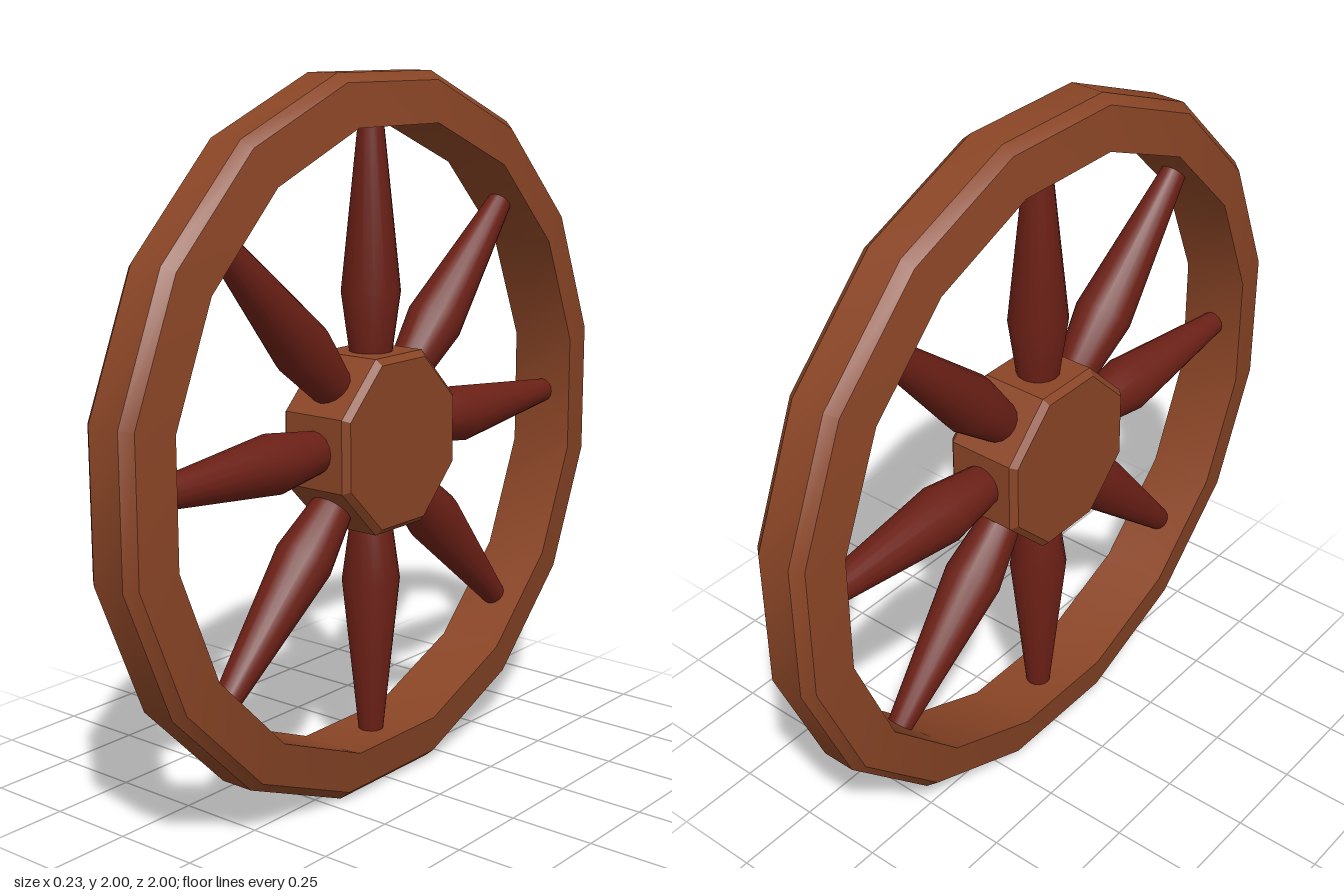
import * as THREE from 'three';
import { toCreasedNormals } from 'three/addons/utils/BufferGeometryUtils.js';

const wood = new THREE.MeshStandardMaterial({ color: 0x8a4526 });
const spokeWood = new THREE.MeshStandardMaterial({ color: 0x6b2016 });

// Polygonal ring or disc turned about the x axis.
// Profile points are [apothem, x], so flats (not corners) lie at each stated distance.
function turned(profile, sides) {
  const points = profile.map(([r, x]) => new THREE.Vector2(r / Math.cos(Math.PI / sides), x));
  const geometry = new THREE.LatheGeometry(points, sides, Math.PI / sides);
  geometry.rotateZ(-Math.PI / 2);
  return toCreasedNormals(geometry, THREE.MathUtils.degToRad(30));
}

function addPart(parent, name, geometry, material) {
  const mesh = new THREE.Mesh(geometry, material);
  mesh.name = name;
  parent.add(mesh);
  return mesh;
}

export function createModel() {
  const wheel = new THREE.Group();
  wheel.name = 'wheel';

  // Sixteen-sided rim with slightly tapered faces and a bevelled tread
  addPart(wheel, 'rim', turned([
    [0.86, -0.1], [0.975, -0.08], [1, -0.05],
    [1, 0.05], [0.975, 0.08], [0.86, 0.1], [0.86, -0.1],
  ], 16), wood).position.y = 1;

  // Eight-sided hub with chamfered edges
  addPart(wheel, 'hub', turned([
    [0, -0.115], [0.228, -0.115], [0.245, -0.098],
    [0.245, 0.098], [0.228, 0.115], [0, 0.115],
  ], 8), wood).position.y = 1;

  // Round spokes, swelling near the hub and tapering to the rim
  const spokeProfile = [[0.05, 0.18], [0.061, 0.25], [0.083, 0.41], [0.035, 0.87]]
    .map(([r, y]) => new THREE.Vector2(r, y));
  const spokeGeometry = toCreasedNormals(
    new THREE.LatheGeometry(spokeProfile, 16), THREE.MathUtils.degToRad(40));
  const spokes = new THREE.Group();
  spokes.name = 'spokes';
  spokes.position.y = 1;
  for (let i = 0; i < 8; i++) {
    addPart(spokes, `spoke${i + 1}`, spokeGeometry, spokeWood).rotation.x = i * Math.PI / 4;
  }
  wheel.add(spokes);

  return wheel;
}
